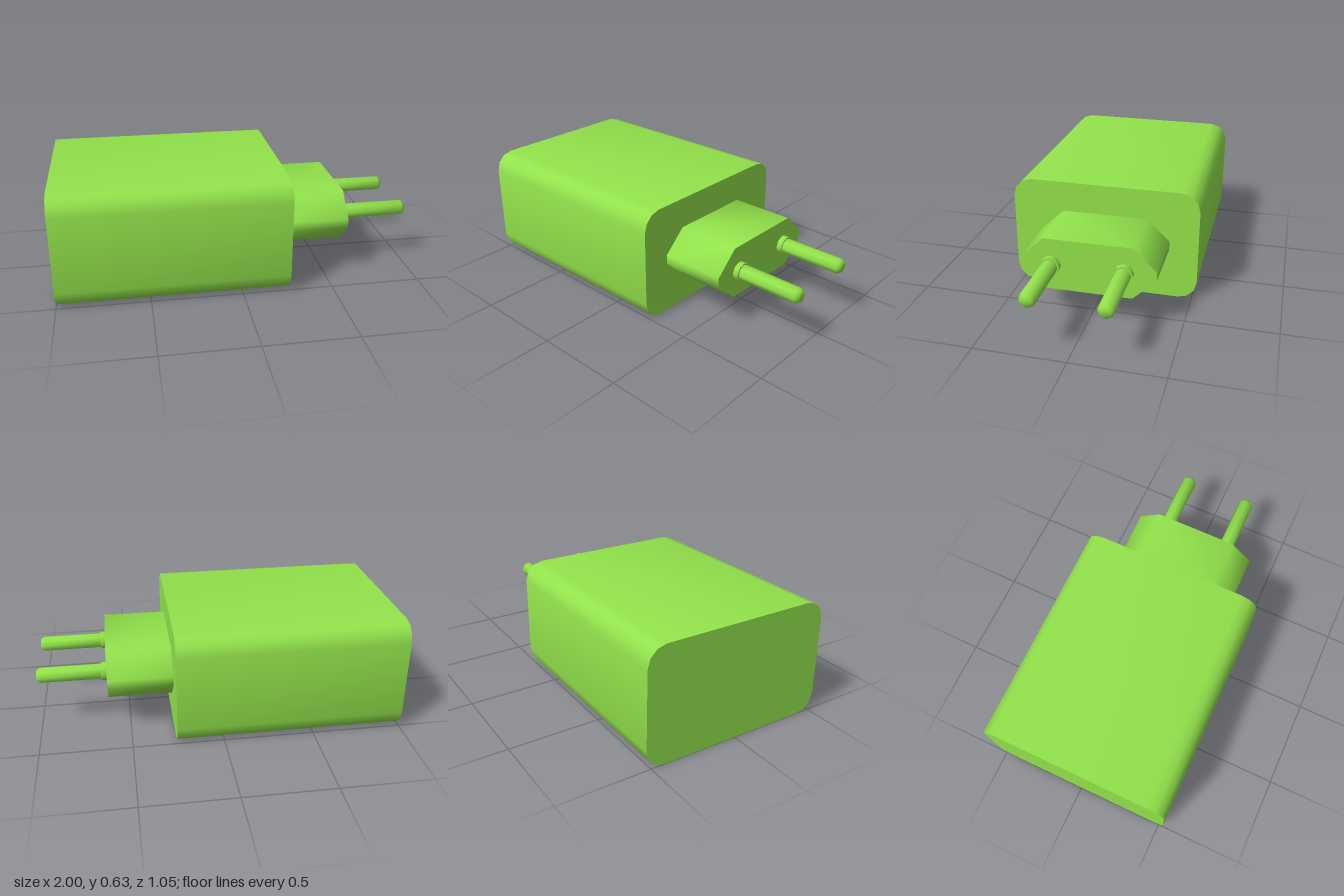
import * as THREE from 'three';
import { toCreasedNormals } from 'three/addons/utils/BufferGeometryUtils.js';

const CENTRE_Y = 0.3165;

// Extrudes a (z, y) outline along x
function prism(points, x0, x1) {
  const shape = new THREE.Shape(points.map(([a, b]) => new THREE.Vector2(a, b)));
  const geo = new THREE.ExtrudeGeometry(shape, { depth: x1 - x0, bevelEnabled: false });
  geo.rotateY(Math.PI / 2).translate(x0, CENTRE_Y, 0);
  return toCreasedNormals(geo, 1.0);
}

// Rounded rectangle outline with three facets per corner
function roundedOutline(hw, hh, r) {
  const pts = [];
  [[1, 1], [-1, 1], [-1, -1], [1, -1]].forEach(([sx, sy], q) => {
    for (let i = 0; i <= 3; i++) {
      const a = (q + i / 3) * Math.PI / 2;
      pts.push([sx * (hw - r) + r * Math.cos(a), sy * (hh - r) + r * Math.sin(a)]);
    }
  });
  return pts;
}

export function createModel() {
  const group = new THREE.Group();
  const green = new THREE.MeshStandardMaterial({ color: 0x92e24b });
  green.name = 'bright green';
  const add = (name, geo) => {
    const mesh = new THREE.Mesh(geo, green);
    mesh.name = name;
    group.add(mesh);
    return mesh;
  };

  // Main housing
  add('housing', prism(roundedOutline(0.526, 0.3165, 0.103), -1, 0.26));

  // Plug neck with chamfered sides
  add('plugNeck', prism([
    [0.365, -0.025], [0.365, 0.025], [0.238, 0.146], [-0.238, 0.146],
    [-0.365, 0.025], [-0.365, -0.025], [-0.238, -0.146], [0.238, -0.146],
  ], 0.26, 0.617));

  // Pins, each with a collar at the root and a chamfered tip
  const profile = [
    [0.053, 0.61], [0.053, 0.648], [0.044, 0.648], [0.044, 0.982], [0.031, 1], [0, 1],
  ].map(([r, x]) => new THREE.Vector2(r, x));
  const pin = toCreasedNormals(new THREE.LatheGeometry(profile, 8).rotateZ(-Math.PI / 2), 1.15);
  for (const side of [1, -1]) {
    add(side > 0 ? 'frontPin' : 'backPin', pin).position.set(0, CENTRE_Y, side * 0.195);
  }

  return group;
}
